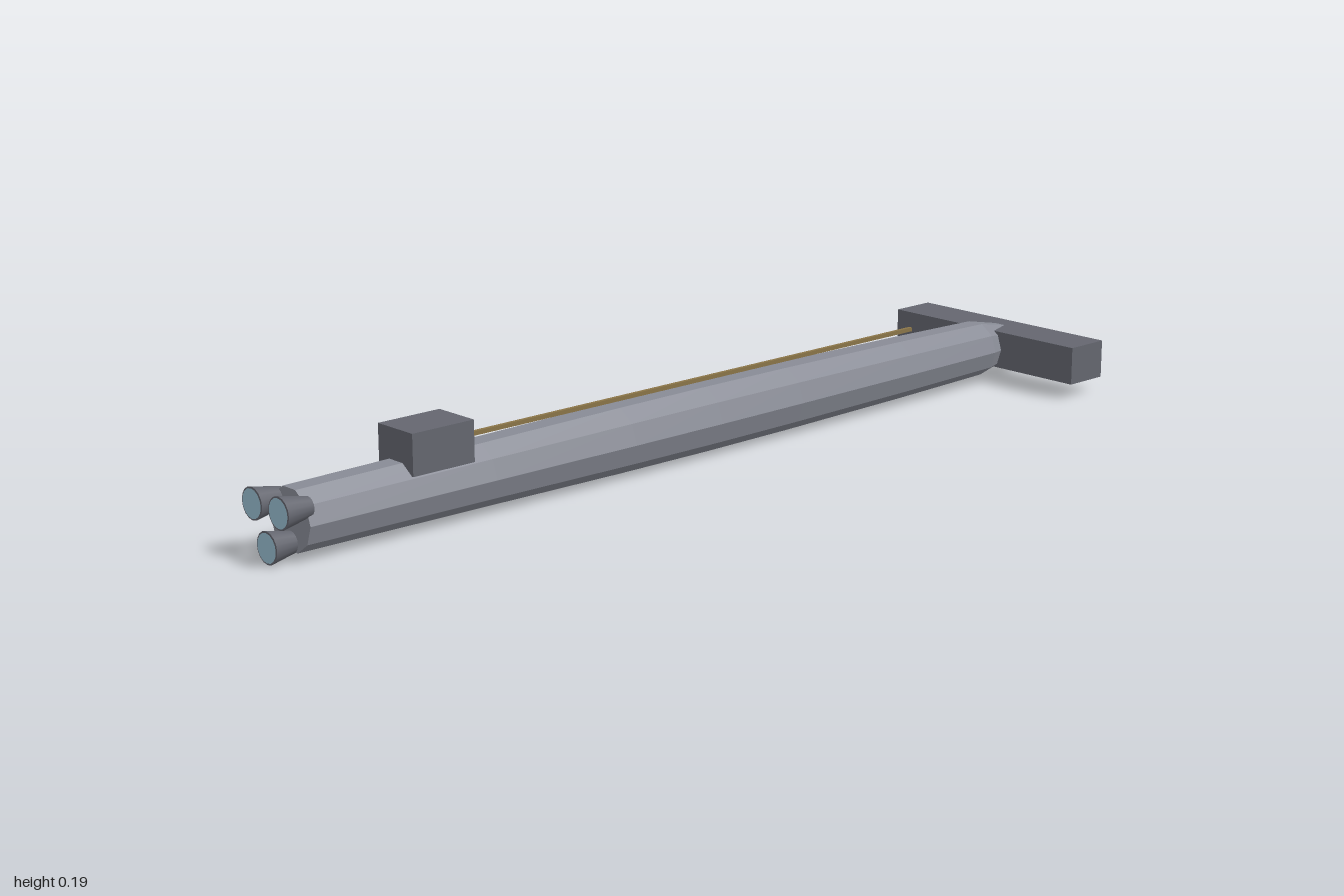
import * as THREE from 'three';

const material = (name, color) => {
  const m = new THREE.MeshStandardMaterial({ color });
  m.name = name;
  return m;
};

export function createModel() {
  const ship = new THREE.Group();
  ship.name = 'ship';
  const hullGrey = material('hull grey', 0x888b95);
  const darkGrey = material('dark grey', 0x64666f);
  const glowBlue = material('glow blue', 0x98bccf);
  const bronze = material('bronze', 0x8a7448);

  const add = (name, geometry, mat, x, y, z) => {
    const mesh = new THREE.Mesh(geometry, mat);
    mesh.name = name;
    mesh.position.set(x, y, z);
    ship.add(mesh);
    return mesh;
  };

  // Ten-sided faceted hull, slightly swollen amidships, with a tapered tip
  const profile = [
    [0, -1], [0.018, -1], [0.058, -0.81], [0.063, -0.55], [0.067, -0.22],
    [0.068, 0], [0.067, 0.22], [0.063, 0.55], [0.059, 0.95], [0, 0.95],
  ].map(([r, z]) => new THREE.Vector2(r, z));
  const hull = new THREE.LatheGeometry(profile, 10, Math.PI / 2)
    .rotateX(Math.PI / 2).toNonIndexed();
  hull.computeVertexNormals();
  add('hull', hull, hullGrey, 0, 0.07, 0);

  // Crosswise block and raised block
  add('crossBlock', new THREE.BoxGeometry(0.488, 0.078, 0.098), darkGrey, 0, 0.07, -0.883);
  add('towerBlock', new THREE.BoxGeometry(0.098, 0.078, 0.136), darkGrey, 0, 0.148, 0.657);

  // Thin rail along the top
  add('spineRail', new THREE.BoxGeometry(0.008, 0.008, 1.17), bronze, 0, 0.145, -0.02);

  // Three flared engine nozzles with glowing faces
  for (const [x, y] of [[-0.039, 0.1], [0.039, 0.1], [0, 0.03]]) {
    add('nozzle', new THREE.CylinderGeometry(0.03, 0.018, 0.06, 16).rotateX(Math.PI / 2),
      darkGrey, x, y, 0.969);
    add('nozzleGlow', new THREE.CircleGeometry(0.027, 16), glowBlue, x, y, 1);
  }
  return ship;
}
